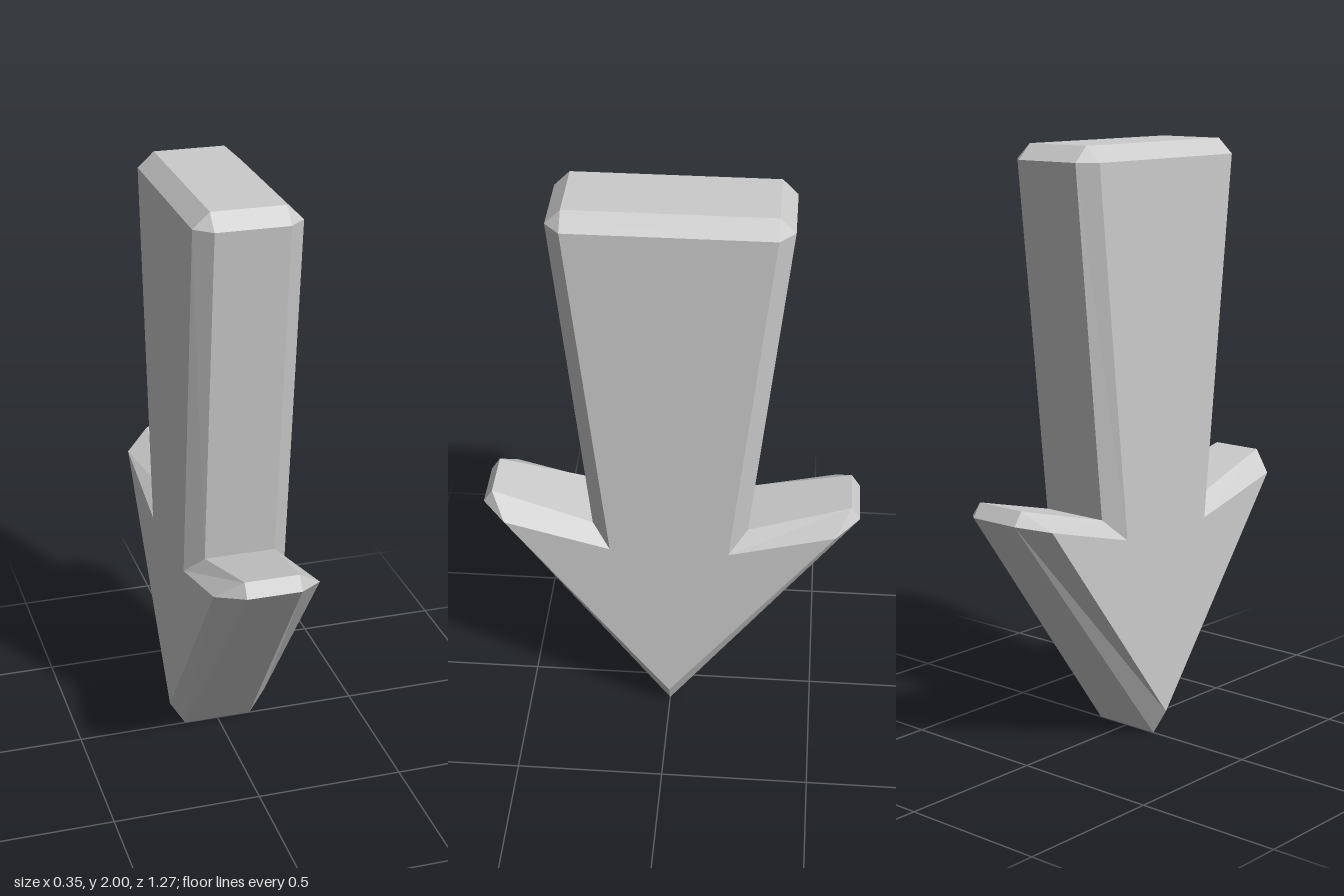
import * as THREE from 'three';

const FACE_X = 0.175;

// Half outline from tip to crown: rim z, rim y, rim half-width, then side-face z, y
const HALF = [
  [0, 0, 0.12, 0, 0.09], // tip
  [0.635, 0.845, 0.09, 0.555, 0.825], // barb, lower corner
  [0.605, 0.89, 0.09, 0.555, 0.825], // barb, upper corner
  [0.262, 0.8, 0.12, 0.2, 0.73], // notch
  [0.38, 1.95, 0.12, 0.33, 1.95], // shaft shoulder
  [0.33, 2, 0.12, 0.33, 1.95], // shaft crown
];

function arrowGeometry() {
  const mirrored = HALF.slice(1).reverse().map(([z, y, x, fz, fy]) => [-z, y, x, -fz, fy]);
  const outline = [...HALF, ...mirrored];
  const n = outline.length;

  // Four rings across the thickness: side face, rim, rim, side face
  const rings = [
    outline.map(([, , , z, y]) => new THREE.Vector3(FACE_X, y, z)),
    outline.map(([z, y, x]) => new THREE.Vector3(x, y, z)),
    outline.map(([z, y, x]) => new THREE.Vector3(-x, y, z)),
    outline.map(([, , , z, y]) => new THREE.Vector3(-FACE_X, y, z)),
  ];

  const points = [];
  const tri = (a, b, c) => {
    // Bevel corners collapse to single triangles
    if (new THREE.Triangle(a, b, c).getArea() > 1e-7) points.push(a, b, c);
  };

  // Bevels and rim
  for (let k = 0; k < 3; k++) {
    for (let i = 0; i < n; i++) {
      const j = (i + 1) % n;
      tri(rings[k][i], rings[k][j], rings[k + 1][j]);
      tri(rings[k][i], rings[k + 1][j], rings[k + 1][i]);
    }
  }

  // Flat side faces
  const flat = outline.map(([, , , z, y]) => new THREE.Vector2(z, y));
  for (const [a, b, c] of THREE.ShapeUtils.triangulateShape(flat, [])) {
    tri(rings[0][a], rings[0][c], rings[0][b]);
    tri(rings[3][a], rings[3][b], rings[3][c]);
  }

  const geometry = new THREE.BufferGeometry().setFromPoints(points);
  geometry.computeVertexNormals();
  return geometry;
}

export function createModel() {
  const group = new THREE.Group();
  group.name = 'downArrow';
  const material = new THREE.MeshStandardMaterial({ color: 0xcccccc, flatShading: true });
  const arrow = new THREE.Mesh(arrowGeometry(), material);
  arrow.name = 'bevelledArrow';
  group.add(arrow);
  return group;
}
